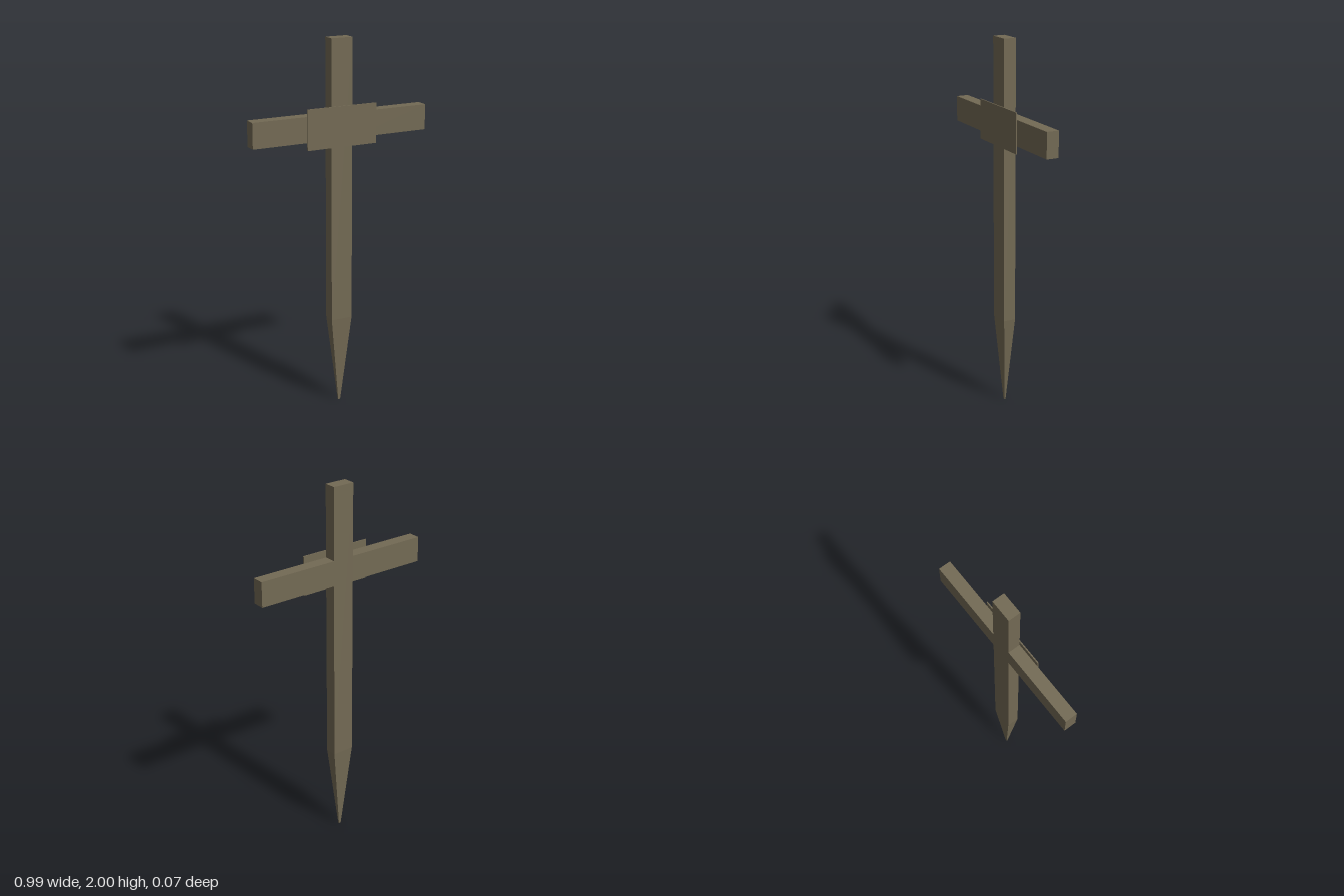
import * as THREE from 'three';

const DEPTH = 0.066;     // thickness of the timber
const Z = -0.003;        // timber centre; the plate sits on its front
const POST_HALF = 0.06;
const TAPER_Y = 0.49;

export function createModel() {
  const model = new THREE.Group();
  model.name = 'woodenCross';
  const wood = new THREE.MeshStandardMaterial({ color: 0x736a54 });
  wood.name = 'weatheredWood';

  function add(name, geometry) {
    const mesh = new THREE.Mesh(geometry, wood);
    mesh.name = name;
    model.add(mesh);
  }

  function block(x0, x1, y0, y1, z0 = Z - DEPTH / 2, z1 = Z + DEPTH / 2) {
    return new THREE.BoxGeometry(x1 - x0, y1 - y0, z1 - z0)
      .translate((x0 + x1) / 2, (y0 + y1) / 2, (z0 + z1) / 2);
  }

  // Upright post
  add('post', block(-POST_HALF, POST_HALF, TAPER_Y, 2));

  // Sharpened stake end: the bottom corners are drawn in towards the axis
  const stake = block(-POST_HALF, POST_HALF, 0, TAPER_Y);
  const p = stake.attributes.position;
  for (let i = 0; i < p.count; i++) {
    if (p.getY(i) < 0.01) {
      p.setX(i, p.getX(i) * 0.1);
      p.setZ(i, Z + (p.getZ(i) - Z) * 0.1);
    }
  }
  stake.computeVertexNormals();
  add('stakePoint', stake);

  // Arms of the crossbar, flush with the post
  add('leftArm', block(POST_HALF, 0.497, 1.48, 1.615));
  add('rightArm', block(-0.497, -POST_HALF, 1.48, 1.615));

  // Thin plate across the front of the joint
  add('namePlate', block(-0.198, 0.198, 1.44, 1.653, Z + DEPTH / 2, 0.036));

  return model;
}
